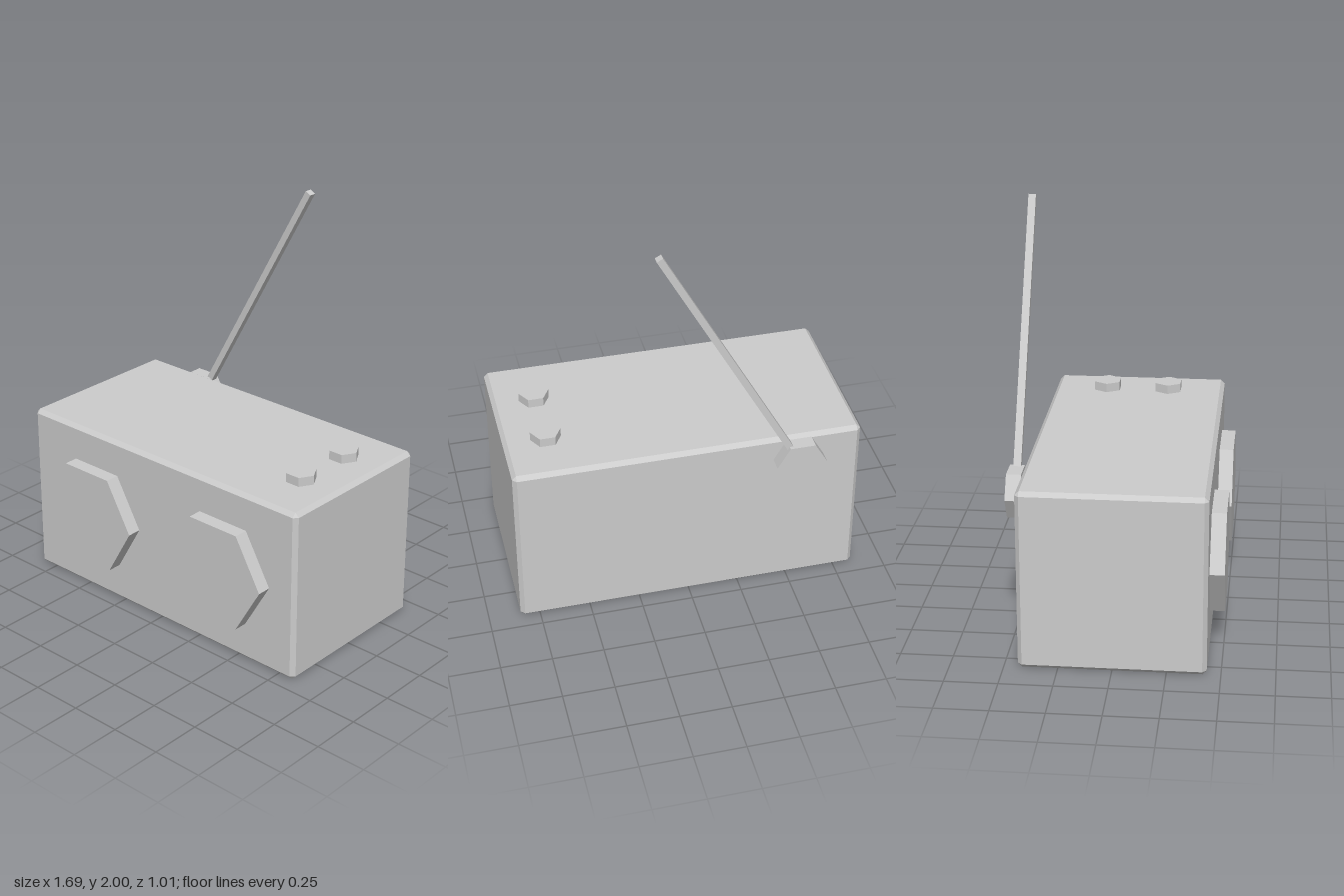
import * as THREE from 'three';

const material = new THREE.MeshStandardMaterial({
  color: 0xcccccc, flatShading: true, side: THREE.DoubleSide,
});

function addMesh(group, name, geometry, x, y, z) {
  const mesh = new THREE.Mesh(geometry, material);
  mesh.name = name;
  mesh.position.set(x, y, z);
  group.add(mesh);
  return mesh;
}

// Chamfered thin-walled box with an open bottom, lofted from rings of 8 points
function casingGeometry(hx, height, hz, bevel) {
  const ring = (y, inset) => {
    const a = hx - bevel, b = hz - bevel, X = hx - inset, Z = hz - inset;
    return [[a, Z], [X, b], [X, -b], [a, -Z], [-a, -Z], [-X, -b], [-X, b], [-a, Z]]
      .map(([x, z]) => new THREE.Vector3(x, y, z));
  };
  const rings = [ring(0, bevel), ring(bevel, 0), ring(height - bevel, 0), ring(height, bevel)];
  const points = [];
  const tri = (a, b, c) => {
    if (new THREE.Triangle(a, b, c).getArea() > 1e-9) points.push(a, b, c);
  };
  for (let r = 0; r < 3; r++) {
    for (let i = 0; i < 8; i++) {
      const j = (i + 1) % 8;
      const [lo, hi] = [rings[r], rings[r + 1]];
      tri(lo[i], lo[j], hi[j]);
      tri(lo[i], hi[j], hi[i]);
    }
  }
  // Top panel
  const top = rings[3];
  tri(top[0], top[2], top[4]);
  tri(top[0], top[4], top[6]);
  const geometry = new THREE.BufferGeometry().setFromPoints(points);
  geometry.computeVertexNormals();
  return geometry;
}

// Hexagonal prism with two corners on the x axis
const hexPrism = (radius, depth) =>
  new THREE.CylinderGeometry(radius, radius, depth, 6).rotateY(Math.PI / 6 + Math.PI / 3);

const hexFacingZ = (radius, depth) => {
  const geometry = new THREE.CylinderGeometry(radius, radius, depth, 6);
  return geometry.rotateY(Math.PI / 2).rotateX(Math.PI / 2);
};

export function createModel() {
  const radio = new THREE.Group();
  radio.name = 'radio';

  addMesh(radio, 'casing', casingGeometry(0.845, 0.87, 0.435, 0.02), 0, 0, 0);

  // Speakers pass through the front wall
  addMesh(radio, 'rightSpeaker', hexFacingZ(0.285, 0.14), -0.415, 0.44, 0.435);
  addMesh(radio, 'leftSpeaker', hexFacingZ(0.285, 0.14), 0.41, 0.44, 0.435);

  // Knobs on the top panel
  addMesh(radio, 'frontKnob', hexPrism(0.074, 0.09), 0.64, 0.87, 0.15);
  addMesh(radio, 'backKnob', hexPrism(0.074, 0.09), 0.64, 0.87, -0.165);

  // Antenna pivot and rod on the back
  addMesh(radio, 'antennaPivot', hexFacingZ(0.123, 0.07), -0.532, 0.75, -0.473);
  const start = new THREE.Vector3(-0.475, 0.847, -0.472);
  const end = new THREE.Vector3(0.157, 1.992, -0.472);
  const mid = start.clone().add(end).multiplyScalar(0.5);
  const rod = addMesh(radio, 'antennaRod',
    new THREE.BoxGeometry(0.032, start.distanceTo(end), 0.036), mid.x, mid.y, mid.z);
  rod.rotation.z = -Math.atan2(end.x - start.x, end.y - start.y);

  return radio;
}
